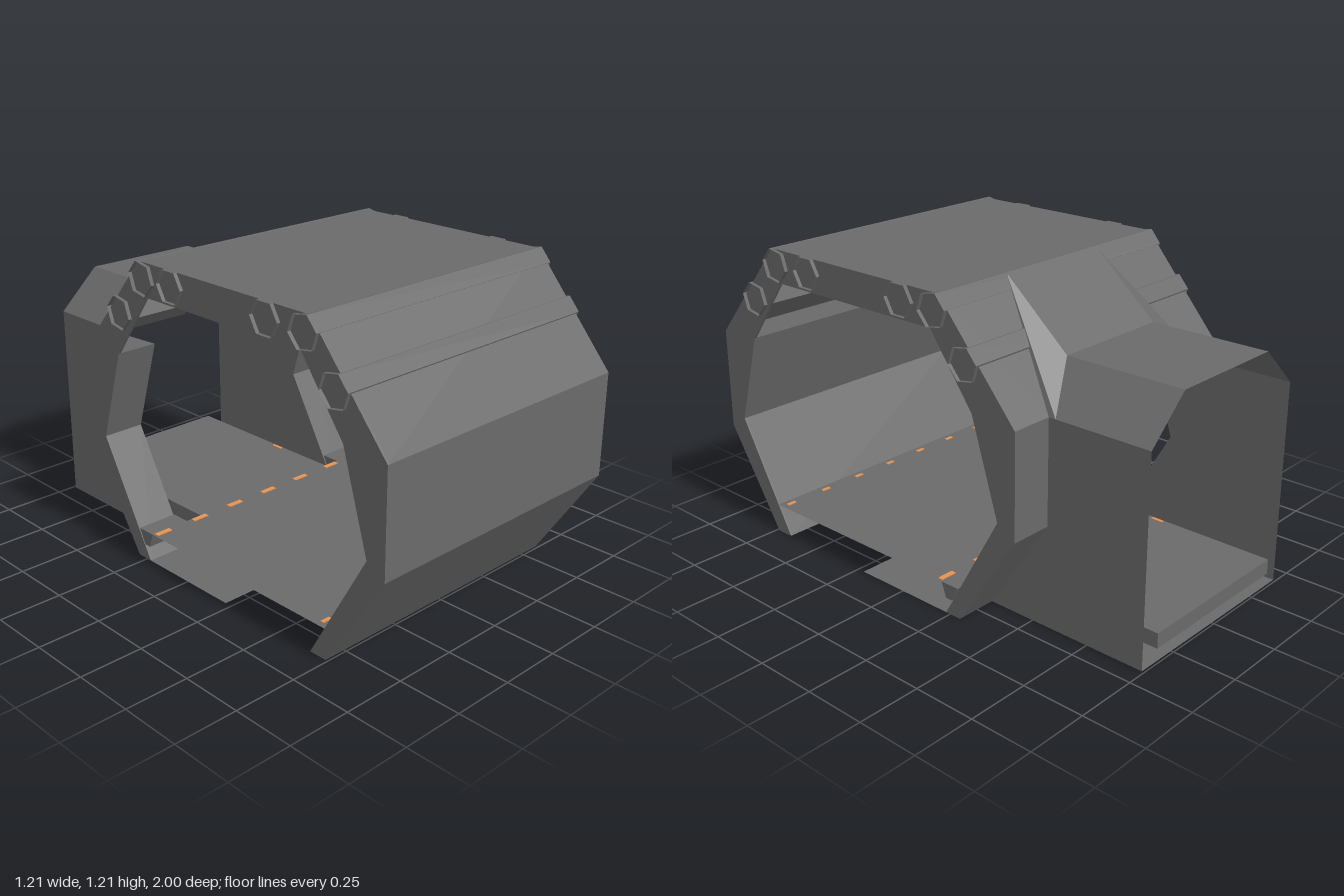
import * as THREE from 'three';

export function createModel() {
  const root = new THREE.Group();
  const grey = new THREE.MeshStandardMaterial({ color: 0x6a6a6a, flatShading: true, side: THREE.DoubleSide });
  grey.name = 'panelGrey';
  const orange = new THREE.MeshStandardMaterial({ color: 0xf09a55 });
  orange.name = 'lightOrange';

  const add = (name, geometry, material = grey) => {
    const mesh = new THREE.Mesh(geometry, material);
    mesh.name = name;
    root.add(mesh);
    return mesh;
  };
  // Extrudes a [z, y] outline along x
  const prism = (name, outline, x0, x1) => {
    const shape = new THREE.Shape(outline.map(([z, y]) => new THREE.Vector2(z, y)));
    const g = new THREE.ExtrudeGeometry(shape, { depth: x1 - x0, bevelEnabled: false });
    g.rotateY(-Math.PI / 2).translate(x1, 0, 0);
    add(name, g);
  };
  // Flat panel fanned out from its first corner
  const panel = (name, ...pts) => {
    const g = new THREE.BufferGeometry().setFromPoints(pts.map((p) => new THREE.Vector3(...p)));
    const index = [];
    for (let i = 1; i < pts.length - 1; i++) index.push(0, i, i + 1);
    g.setIndex(index);
    g.computeVertexNormals();
    add(name, g);
  };
  // Horizontal sheet
  const sheet = (name, x, y, z0, z1) => panel(name, [-x, y, z1], [x, y, z1], [x, y, z0], [-x, y, z0]);

  // Tunnel end frames
  const W = 0.59;
  const ring = [[0.74, 0], [1, 0.4], [1, 0.81], [0.66, 1.21], [-0.22, 1.21], [-0.565, 0.81], [-0.565, 0.4], [-0.3, 0],
    [-0.23, 0], [-0.485, 0.45], [-0.37, 0.82], [-0.18, 1.08], [0.62, 1.08], [0.81, 0.82], [0.92, 0.45], [0.665, 0]];
  prism('endFrameLeft', ring, W - 0.01, W);
  prism('endFrameRight', ring, -W, -W + 0.01);

  // Double-skinned lower walls
  const lowerFront = [[0.74, 0], [1, 0.4], [1, 0.81], [0.81, 0.82], [0.92, 0.45], [0.665, 0]];
  const lowerBack = [[-0.565, 0.81], [-0.565, 0.4], [-0.3, 0], [-0.23, 0], [-0.485, 0.45], [-0.37, 0.82]];
  prism('frontWall', lowerFront, -W + 0.01, W - 0.01);
  prism('backWallLeft', lowerBack, 0.42, W - 0.01);
  prism('backWallRight', lowerBack, -W + 0.01, -0.42);

  // Single-skinned upper shell
  panel('frontSlope', [-W, 0.81, 1], [W, 0.81, 1], [W, 1.21, 0.66], [-W, 1.21, 0.66]);
  sheet('roof', W, 1.21, -0.22, 0.66);

  // Hexagonal pipes inside the upper shell, open at the ends
  const pipe = (z, y, tilt, x0, x1) => {
    const g = new THREE.CylinderGeometry(0.067, 0.067, x1 - x0, 6, 1, true);
    g.rotateZ(Math.PI / 2).rotateX(tilt).translate((x0 + x1) / 2, y, z);
    add('hexPipe', g);
  };
  const E = 0.605, tilt = Math.atan2(0.4, 0.34);
  pipe(0.777, 0.99, tilt, -E, E);
  pipe(0.637, 1.149, tilt, -E, E);
  pipe(0.457, 1.152, 0, -E, E);
  pipe(-0.035, 1.152, 0, -E, E);
  pipe(-0.197, 1.149, -tilt, -E, E);
  pipe(-0.341, 0.99, -tilt, 0.31, E);
  pipe(-0.341, 0.99, -tilt, -E, -0.31);

  // Back slope and side passage
  const zEnd = -0.99;
  for (const s of [-1, 1]) {
    const w = 0.42 * s, r = 0.25 * s;
    panel('backSlope', [W * s, 1.21, -0.22], [W * s, 0.81, -0.565], [w, 0.81, -0.565], [r, 1.21, -0.22]);
    panel('blendEdge', [r, 1.21, -0.22], [w, 0.81, -0.565], [w, 0.81, -0.595]);
    panel('blendCorner', [r, 1.21, -0.22], [r, 0.97, -0.5], [w, 0.81, -0.595]);
    panel('passageWall', [w, 0.4, -0.565], [w, 0, -0.3], [w, 0, zEnd], [w, 0.81, zEnd], [w, 0.81, -0.565]);
    panel('passageHaunch', [w, 0.81, zEnd], [r, 0.97, zEnd], [r, 0.97, -0.5], [w, 0.81, -0.595]);
  }
  sheet('passageRoof', 0.25, 0.97, zEnd, -0.5);
  panel('blendRoof', [-0.25, 0.97, -0.5], [0.25, 0.97, -0.5], [0.25, 1.21, -0.22], [-0.25, 1.21, -0.22]);

  // Raised walkway through the passage, with side ledges at its mouth
  prism('walkway', [[-0.21, 0.12], [-1, 0.12], [-1, 0.06], [-0.23, 0.06]], -0.35, 0.35);
  const ledge = [[-0.21, 0.12], [-0.29, 0.12], [-0.26, 0.06], [-0.23, 0.06]];
  prism('ledgeLeft', ledge, 0.42, W);
  prism('ledgeRight', ledge, -W, -0.42);

  // Raised hall floor over a lower base plate
  sheet('hallFloor', W, 0.12, -0.21, 0.733);
  sheet('baseBack', 0.42, 0, zEnd, -0.3);
  sheet('baseHall', W, 0, -0.3, 0.22);

  // Small flat lights set along the floor edges
  const light = (x, z, lx, lz) =>
    add('floorLight', new THREE.BoxGeometry(lx, 0.004, lz), orange).position.set(x, 0.122, z);
  for (let i = -3; i <= 3; i++) {
    light(i * 0.183, -0.195, 0.07, 0.02);
    light(i * 0.183, 0.7, 0.04, 0.014);
  }
  for (const x of [-0.335, 0.335]) light(x, -0.5, 0.014, 0.05);

  return root;
}
